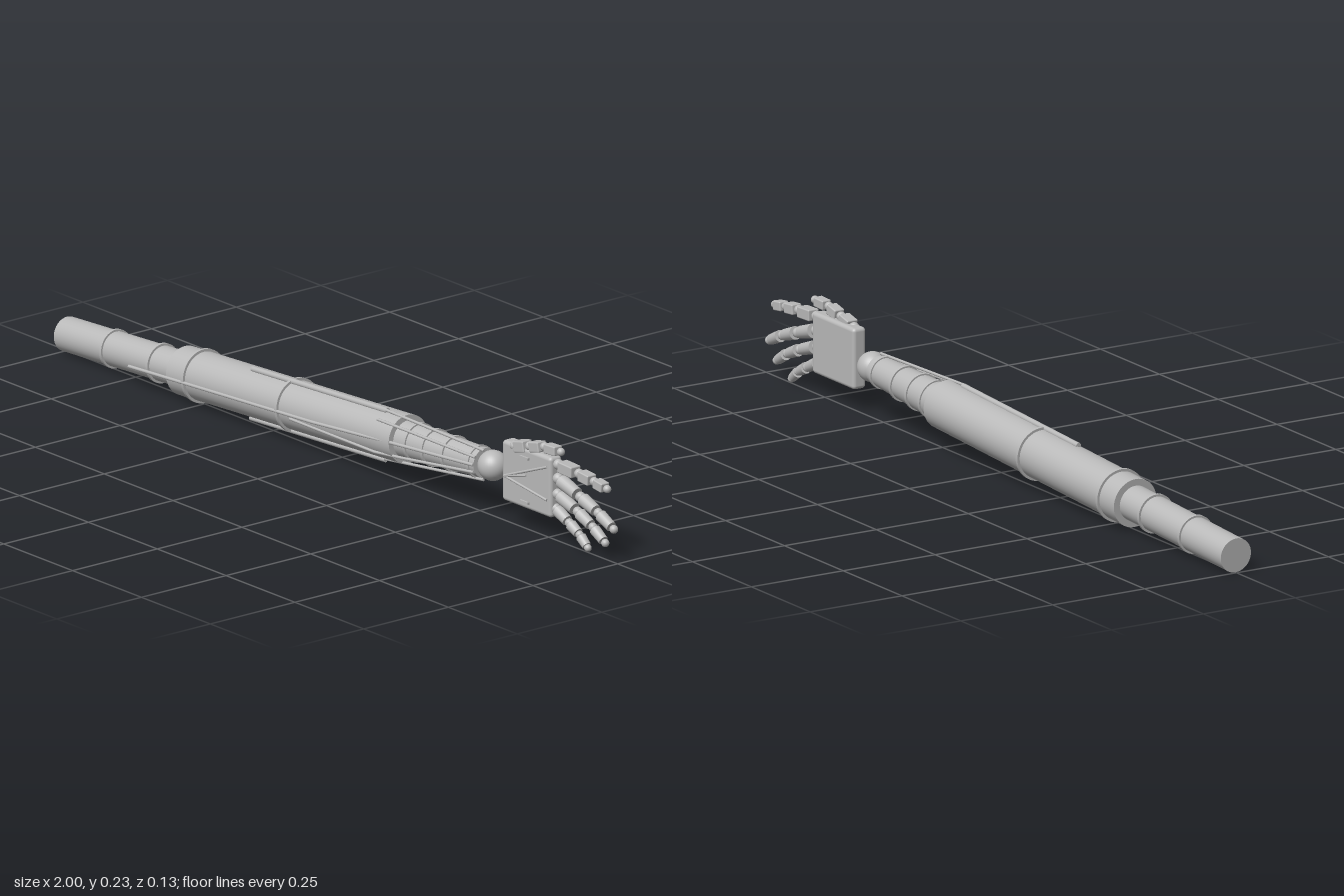
import * as THREE from 'three';
import { RoundedBoxGeometry } from 'three/addons/geometries/RoundedBoxGeometry.js';

const metal = new THREE.MeshStandardMaterial({ color: 0xb9b9b9 });
metal.name = 'light grey metal';

const V = (p) => new THREE.Vector3(...p);

function add(parent, name, geometry, pos = [0, 0, 0]) {
  const mesh = new THREE.Mesh(geometry, metal);
  mesh.name = name;
  mesh.position.set(...pos);
  parent.add(mesh);
  return mesh;
}

// Lays a geometry whose length runs along y between two points
function span(parent, name, a, b, makeGeometry) {
  const from = V(a), to = V(b), dir = to.clone().sub(from);
  const mesh = add(parent, name, makeGeometry(dir.length()));
  mesh.position.copy(from).lerp(to, 0.5);
  mesh.quaternion.setFromUnitVectors(new THREE.Vector3(0, 1, 0), dir.normalize());
}

// Round bar, r0 at the start and r1 at the end
function bar(parent, name, a, b, r0, r1 = r0, sides = 12) {
  span(parent, name, a, b, (length) => new THREE.CylinderGeometry(r1, r0, length, sides));
}

// Rod that bends at each listed point
function rod(parent, name, points, r) {
  for (let i = 0; i + 1 < points.length; i++) bar(parent, name, points[i], points[i + 1], r);
  points.slice(1, -1).forEach((p) => add(parent, name + 'Bend', new THREE.SphereGeometry(r, 12, 8), p));
}

// Chain of tapered phalanges, round or square, with ball knuckles
function finger(parent, name, points, r, square) {
  const group = new THREE.Group();
  group.name = name;
  parent.add(group);
  points.forEach((p, i) => {
    const size = r * (1 - 0.08 * i);
    add(group, 'knuckle', new THREE.SphereGeometry(size * 0.9, 16, 12), p);
    if (i + 1 === points.length) return;
    const a = V(p), b = V(points[i + 1]);
    const at = (t) => a.clone().lerp(b, t).toArray();
    if (square) {
      span(group, 'phalanx', at(0.16), at(0.84), (length) =>
        new RoundedBoxGeometry(size * 1.9, length, size * 2.1, 2, 0.003));
    } else {
      bar(group, 'phalanx', at(0.16), at(0.84), size * 1.15, size, 20);
    }
  });
}

export function createModel() {
  const model = new THREE.Group();
  model.name = 'mechanicalArm';

  // Arm tubes lie along a slightly rising axis
  const arm = new THREE.Group();
  arm.name = 'arm';
  arm.position.y = 0.096;
  arm.rotation.z = Math.atan(0.052);
  model.add(arm);
  const tube = (name, x0, x1, r0, r1) => bar(arm, name, [x0, 0, 0], [x1, 0, 0], r0, r1, 48);
  tube('upperTube', -0.999, -0.55, 0.041, 0.042);
  tube('sleeve', -0.57, 0.24, 0.058, 0.058);
  tube('wristTube', 0.235, 0.52, 0.045, 0.035);
  add(arm, 'wristBall', new THREE.SphereGeometry(0.036, 32, 20), [0.548, 0, 0]);

  // Clamping rings: position along the arm and radius
  [[-0.825, 0.046], [-0.655, 0.047], [-0.505, 0.064], [-0.165, 0.064],
    [0.28, 0.047], [0.34, 0.045], [0.41, 0.043], [0.5, 0.039]].forEach(([x, r]) =>
    tube('ring', x - 0.004, x + 0.004, r, r));

  // Actuator rods on the front, top and underside
  rod(model, 'frontRod', [[-0.7, 0.055, 0.061], [-0.03, 0.092, 0.061], [0.25, 0.112, 0.053], [0.53, 0.13, 0.044]], 0.004);
  rod(model, 'crossRod', [[-0.12, 0.077, 0.057], [0.18, 0.073, 0.051], [0.27, 0.08, 0.044], [0.52, 0.108, 0.035]], 0.0035);
  rod(model, 'topRod', [[-0.31, 0.139, 0.012], [0.18, 0.164, 0.012]], 0.007);
  rod(model, 'topTendon', [[0.18, 0.166, 0.015], [0.53, 0.158, 0.012]], 0.0035);
  rod(model, 'upperFrontTendon', [[0.18, 0.15, 0.042], [0.52, 0.143, 0.03]], 0.0035);
  rod(model, 'lowerRod', [[-0.31, 0.022, 0.018], [0.18, 0.047, 0.018]], 0.006);
  rod(model, 'lowerTendon', [[0.18, 0.049, 0.018], [0.53, 0.088, 0.014]], 0.0035);

  // Palm with front tendons and small plates
  const hand = new THREE.Group();
  hand.name = 'hand';
  model.add(hand);
  add(hand, 'palm', new RoundedBoxGeometry(0.178, 0.146, 0.036, 3, 0.009), [0.688, 0.131, -0.001]);
  [[0.765, 0.18], [0.69, 0.14], [0.765, 0.1]].forEach((end) =>
    rod(hand, 'palmTendon', [[0.61, 0.12, 0.018], [...end, 0.018]], 0.003));
  [0.182, 0.075].forEach((y) => add(hand, 'palmPlate', new THREE.BoxGeometry(0.03, 0.006, 0.006), [0.685, y, 0.019]));

  // Thumb and four fanned fingers
  finger(hand, 'thumb', [[0.635, 0.196, 0.006], [0.69, 0.209, 0.006], [0.742, 0.221, 0.006], [0.8, 0.223, 0.005]], 0.014, true);
  finger(hand, 'indexFinger', [[0.785, 0.188, 0], [0.86, 0.185, 0], [0.915, 0.18, 0], [0.962, 0.174, 0]], 0.014, true);
  finger(hand, 'middleFinger', [[0.785, 0.154, 0], [0.865, 0.13, 0], [0.93, 0.108, 0], [0.986, 0.083, 0]], 0.015, false);
  finger(hand, 'ringFinger', [[0.782, 0.116, 0], [0.855, 0.092, 0], [0.91, 0.069, 0], [0.955, 0.042, 0]], 0.014, false);
  finger(hand, 'littleFinger', [[0.775, 0.08, 0], [0.825, 0.057, 0], [0.862, 0.038, 0], [0.892, 0.014, 0]], 0.013, false);

  return model;
}
